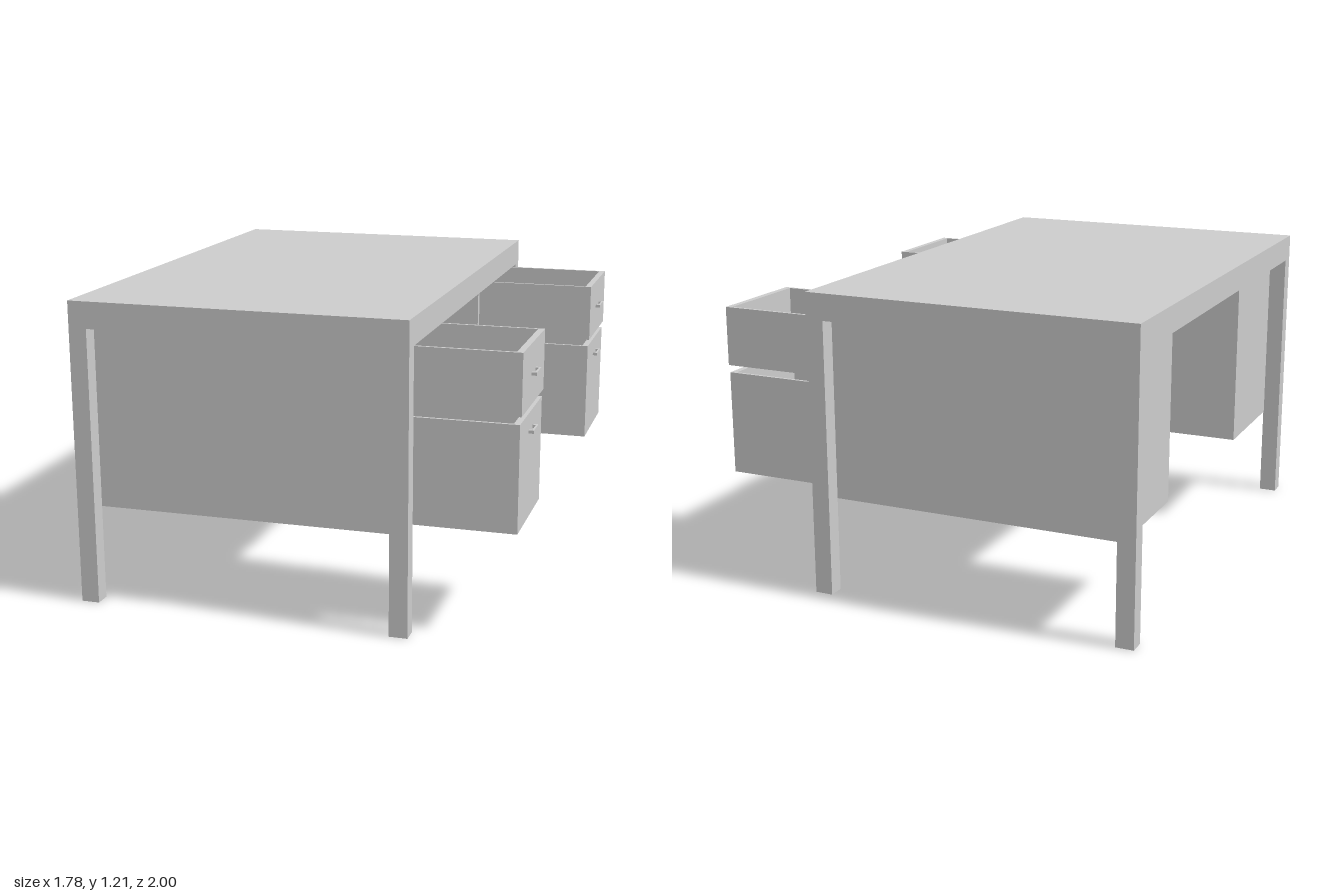
import * as THREE from 'three';

const material = new THREE.MeshStandardMaterial({ color: 0xcccccc, flatShading: true });

// Box given by its minimum and maximum on each axis
function box(parent, name, x0, x1, y0, y1, z0, z1) {
  const mesh = new THREE.Mesh(new THREE.BoxGeometry(x1 - x0, y1 - y0, z1 - z0), material);
  mesh.position.set((x0 + x1) / 2, (y0 + y1) / 2, (z0 + z1) / 2);
  mesh.name = name;
  parent.add(mesh);
  return mesh;
}

// Bar handle on two posts, projecting along +x
function handle(parent, x, y, z) {
  const group = new THREE.Group();
  group.name = 'handle';
  const h = 0.006;
  box(group, 'handleBar', x + 0.012, x + 0.02, y - h, y + h, z - 0.047, z + 0.047);
  for (const s of [-1, 1]) {
    const c = z + s * 0.041;
    box(group, 'handlePost', x, x + 0.012, y - h, y + h, c - h, c + h);
  }
  parent.add(group);
}

// Open-topped drawer with a thicker front panel
function drawer(parent, name, front, y0, y1, z0, z1, handleY) {
  const group = new THREE.Group();
  group.name = name;
  const t = 0.012, back = front - 1.1, inner = front - 0.025;
  box(group, 'drawerFront', inner, front, y0, y1, z0, z1);
  box(group, 'drawerFloor', back, inner, y0, y0 + t, z0, z1);
  box(group, 'drawerSide', back, inner, y0 + t, y1, z0, z0 + t);
  box(group, 'drawerSide', back, inner, y0 + t, y1, z1 - t, z1);
  box(group, 'drawerBack', back, back + t, y0 + t, y1, z0 + t, z1 - t);
  handle(group, front, handleY, (z0 + z1) / 2);
  parent.add(group);
}

// Hollow cabinet, open towards +x
function pedestal(parent, name, z0, z1) {
  const group = new THREE.Group();
  group.name = name;
  const x0 = -0.82, x1 = 0.37, y0 = 0.38, y1 = 1.1, t = 0.028;
  box(group, 'cabinetSide', x0, x1, y0, y1, z0, z0 + t);
  box(group, 'cabinetSide', x0, x1, y0, y1, z1 - t, z1);
  box(group, 'cabinetFloor', x0, x1, y0, y0 + t, z0 + t, z1 - t);
  box(group, 'cabinetBack', x0, x0 + t, y0 + t, y1, z0 + t, z1 - t);
  parent.add(group);
  return group;
}

export function createModel() {
  const desk = new THREE.Group();
  desk.name = 'desk';

  box(desk, 'desktop', -0.89, 0.44, 1.1, 1.205, -1, 1);

  // Four corner legs
  for (const x of [-0.89, 0.368]) {
    for (const z of [-1, 0.935]) box(desk, 'leg', x, x + 0.072, 0, 1.1, z, z + 0.065);
  }

  // Pedestals with their pulled-out drawers
  const sides = [
    { name: 'leftPedestal', z: [0.44, 0.935], d: [0.468, 0.904], front: 0.83 },
    { name: 'rightPedestal', z: [-0.935, -0.445], d: [-0.907, -0.473], front: 0.865 },
  ];
  for (const s of sides) {
    const cabinet = pedestal(desk, s.name, ...s.z);
    drawer(cabinet, 'upperDrawer', s.front, 0.857, 1.092, ...s.d, 0.977);
    drawer(cabinet, 'lowerDrawer', s.front - 0.005, 0.415, 0.828, ...s.d, 0.757);
  }
  return desk;
}
